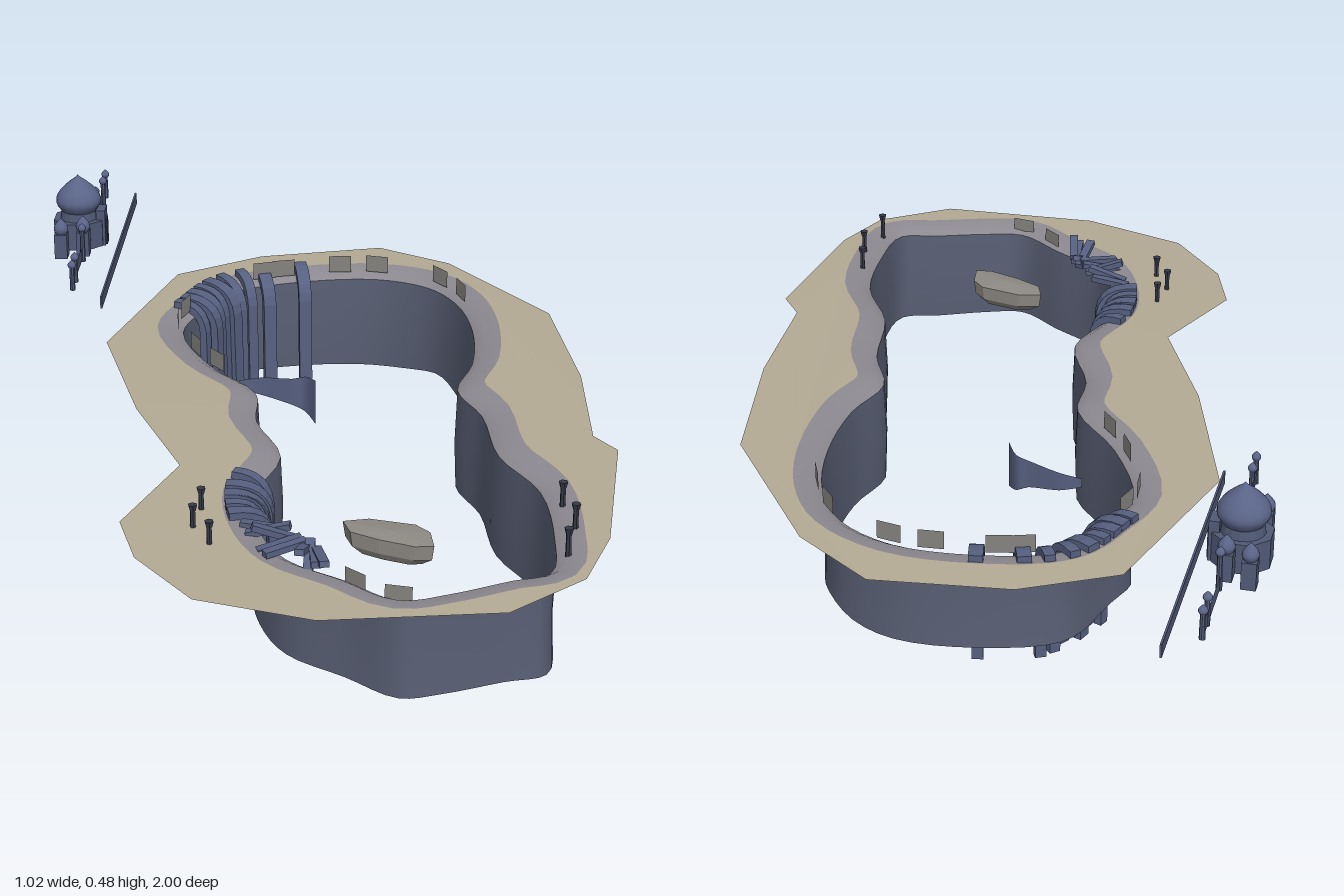
import * as THREE from 'three';

const mat = (color, flatShading = false) =>
  new THREE.MeshStandardMaterial({ color, flatShading, side: THREE.DoubleSide });
const SAND = mat(0xb3aa94), LIP = mat(0x8c8990), ROCK = mat(0x595f74), FALL = mat(0x566080);
const STONE = mat(0x505a76, true), BLOCK = mat(0x85837e, true), DARK = mat(0x353a48, true), DOME = mat(0x5a6488);

// Plan outlines as x, z pairs, running clockwise seen from above
const OUTER = [[-.04, -.71], [.23, -.69], [.36, -.55], [.5, -.21], [.48, .12], [.43, .39], [.46, .46], [.35, .79],
  [.27, .92], [.11, 1], [-.22, .95], [-.42, .83], [-.5, .66], [-.51, .52], [-.37, .32], [-.42, .05], [-.44, -.3], [-.24, -.65]];
const INNER = [[.03, -.57], [.19, -.54], [.29, -.46], [.33, -.35], [.33, -.2], [.29, -.03], [.23, .09], [.25, .22],
  [.24, .4], [.28, .56], [.26, .74], [.22, .86], [.14, .87], [.02, .89], [-.06, .89], [-.14, .8], [-.23, .7],
  [-.26, .58], [-.25, .45], [-.17, .3], [-.19, .13], [-.17, 0], [-.24, -.16], [-.27, -.35], [-.21, -.46], [-.13, -.55]];

const groundY = (x, z) => .262 + .03 * x + .014 * (1 - ((z - .1) / .9) ** 2);

// Sampled canyon edge with outward normals
const edgeCurve = new THREE.CatmullRomCurve3(INNER.map(([x, z]) => new THREE.Vector3(x, 0, z)), true, 'centripetal');
const EDGE = Array.from({ length: 104 }, (_, i) => {
  const p = edgeCurve.getPoint(i / 104), t = edgeCurve.getTangent(i / 104);
  return { x: p.x, z: p.z, nx: t.z, nz: -t.x };
});
const nearestEdge = (x, z) => EDGE.reduce((a, b) =>
  Math.hypot(b.x - x, b.z - z) < Math.hypot(a.x - x, a.z - z) ? b : a);

function add(parent, name, geometry, material, x = 0, y = 0, z = 0, ry = 0) {
  const mesh = new THREE.Mesh(geometry, material);
  mesh.name = name;
  mesh.position.set(x, y, z);
  mesh.rotation.y = ry;
  parent.add(mesh);
  return mesh;
}

// Surface joining closed rings of equal length
function loft(rings) {
  const n = rings[0].length, index = [];
  for (let r = 0; r < rings.length - 1; r++)
    for (let i = 0; i < n; i++) {
      const a = r * n + i, b = r * n + (i + 1) % n;
      index.push(a, a + n, b, b, a + n, b + n);
    }
  const g = new THREE.BufferGeometry();
  g.setAttribute('position', new THREE.Float32BufferAttribute(rings.flat(2), 3));
  g.setIndex(index);
  g.computeVertexNormals();
  return g;
}

function buildGround(root) {
  const offset = e => [e.x + e.nx * .055, e.z + e.nz * .055];
  const toShape = p => new THREE.Vector2(p[0], -p[1]);
  // Flat plateau with the canyon cut out
  const shape = new THREE.Shape(OUTER.map(toShape));
  shape.holes.push(new THREE.Path(EDGE.map(offset).map(toShape)));
  const plateau = new THREE.ShapeGeometry(shape).rotateX(-Math.PI / 2);
  const pos = plateau.attributes.position;
  for (let i = 0; i < pos.count; i++) pos.setY(i, groundY(pos.getX(i), pos.getZ(i)));
  plateau.computeVertexNormals();
  add(root, 'plateau', plateau, SAND);
  // Rounded lip and sheer wall
  const ring = (k, yOf) => EDGE.map(e => {
    const x = e.x + e.nx * k, z = e.z + e.nz * k;
    return [x, yOf(x, z), z];
  });
  const lipY = (x, z) => groundY(x, z) - .017;
  const floorY = (x, z) => .048 + .018 * Math.exp(-(((z + .42) / .07) ** 2));
  add(root, 'canyonLip', loft([ring(.055, groundY), ring(.02, (x, z) => groundY(x, z) - .004), ring(0, lipY)]), LIP);
  add(root, 'canyonWall', loft([ring(0, lipY), ring(-.004, () => .15), ring(0, floorY)]), ROCK);
}

// One band of water curling over the lip and dropping along the wall
function waterStrip(parent, x, z, width, bottom, reach) {
  const e = nearestEdge(x, z), top = groundY(e.x, e.z) + .012;
  const s = new THREE.Shape();
  s.moveTo(-.05, top);
  s.quadraticCurveTo(reach, top + .006, reach + .008, top - .06);
  s.lineTo(reach + .012, bottom);
  s.lineTo(reach - .004, bottom);
  s.lineTo(reach - .008, top - .06);
  s.quadraticCurveTo(reach - .01, top - .012, -.05, top - .014);
  const g = new THREE.ExtrudeGeometry(s, { depth: width, bevelEnabled: false, curveSegments: 6 });
  g.translate(0, 0, -width / 2);
  add(parent, 'waterStrip', g, FALL, e.x, 0, e.z, Math.atan2(e.nz, -e.nx));
}

function buildWaterfalls(root) {
  const falls = [ // start, end, strip count
    ['backLeftFall', [-.235, -.43], [-.14, -.54], 7],
    ['backMiddleFall', [-.09, -.57], [-.05, -.575], 2],
    ['backRightFall', [.01, -.575], [.045, -.575], 2],
    ['frontFall', [-.235, .43], [-.255, .54], 6]];
  for (const [name, a, b, n] of falls) {
    const g = new THREE.Group();
    g.name = name;
    for (let i = 0; i < n; i++) {
      const t = i / (n - 1);
      waterStrip(g, a[0] + (b[0] - a[0]) * t, a[1] + (b[1] - a[1]) * t,
        .022 + .006 * (i % 2), .012 + .011 * ((i * 2) % 3), .02 + .012 * ((i * 3) % 4) / 3);
    }
    root.add(g);
  }
}

function buildDetails(root) {
  // Thin upright slabs along the canyon edge
  const slabs = [[-.24, -.42], [-.27, -.34], [-.26, -.22], [-.22, -.12], [-.06, -.57], [-.01, -.575], [.11, -.56],
    [.2, -.54], [.3, -.44], [.33, -.34], [-.11, .83], [-.05, .89]];
  slabs.forEach(([x, z], i) => {
    const e = nearestEdge(x, z), k = .01;
    add(root, 'edgeSlab', new THREE.PlaneGeometry(.05, .038), BLOCK, e.x + e.nx * k,
      groundY(e.x, e.z) + (i > 9 ? 0 : .016), e.z + e.nz * k, Math.atan2(e.nx, e.nz));
  });
  // Capped posts in two rows
  const posts = [[-.355, .505], [-.38, .57], [-.36, .64], [.3, .645], [.3, .735], [.262, .825]];
  for (const [x, z] of posts) {
    const low = x < 0 ? -.02 : 0;
    add(root, 'post', new THREE.CylinderGeometry(.005, .006, .075, 6), DARK, x, .283 + low, z);
    add(root, 'postCap', new THREE.CylinderGeometry(.009, .006, .012, 6), DARK, x, .32 + low, z);
  }
  // Broken timbers beside the front fall
  for (let i = 0; i < 9; i++) {
    const late = i > 4, x = late ? -.185 + .008 * (i - 7) : -.255 + .006 * i, z = late ? .745 + .012 * (i - 7) : .6 + .025 * i;
    const m = add(root, 'timber', new THREE.BoxGeometry(.085, .012, .018), FALL, x, .264 + .006 * (i % 3), z, late ? .6 + .12 * i : -.5 + .2 * i);
    m.rotation.z = .35 * Math.sin(i * 2.3);
  }
  // Floating ledge with a tapering underside
  const plan = [[-.1, .57], [-.05, .57], [.03, .61], [.05, .645], [.045, .7], [.01, .695], [-.05, .655], [-.095, .615]];
  const level = (k, y) => plan.map(([x, z]) => [-.02 + (x + .02) * k, y, .635 + (z - .635) * k]);
  add(root, 'ledge', loft([level(.001, .25), level(1, .245), level(.95, .215), level(.7, .2), level(.001, .195)]), mat(0x8d8983, true));
  // Curved hanging sheet of rock
  const path = new THREE.CatmullRomCurve3([[-.175, -.185], [-.13, -.175], [-.07, -.14], [-.045, -.13], [-.03, -.09]]
    .map(([x, z]) => new THREE.Vector3(x, 0, z)));
  const sheet = new THREE.PlaneGeometry(1, 1, 12, 1), p = sheet.attributes.position;
  for (let i = 0; i < p.count; i++) {
    const u = p.getX(i) + .5, v = p.getY(i) + .5, c = path.getPoint(u);
    p.setXYZ(i, c.x, v > .5 ? .2 + .03 * u : .18 - .05 * u, c.z);
  }
  sheet.computeVertexNormals();
  add(root, 'hangingSheet', sheet, FALL);
}

// Onion dome of given radius, sitting on y = 0
const onion = (r, h) => new THREE.LatheGeometry(new THREE.SplineCurve(
  [[.75, 0], [1, .25], [.85, .52], [.42, .78], [.12, .92], [0, 1]].map(([a, b]) => new THREE.Vector2(a * r, b * h))).getPoints(14), 16);

function buildPalace(root) {
  const g = new THREE.Group();
  g.name = 'palace';
  g.position.set(-.45, 0, -.71);
  g.rotation.y = 1.33;
  const box = (name, w, y0, y1, d, x, z) => add(g, name, new THREE.BoxGeometry(w, y1 - y0, d), STONE, x, (y0 + y1) / 2, z);
  // Terrace wall in front
  box('terraceWall', .63, .303, .33, .004, 0, .087);
  // Main hall, gate and drum
  const hall = new THREE.CylinderGeometry(.058, .058, .06, 8).rotateY(Math.PI / 8);
  add(g, 'hall', hall, STONE, 0, .36, 0);
  box('gate', .04, .33, .412, .02, 0, .05);
  box('gateRecess', .022, .33, .39, .004, 0, .061).material = DARK;
  add(g, 'drum', new THREE.CylinderGeometry(.038, .042, .024, 16), STONE, 0, .4, 0);
  add(g, 'mainDome', onion(.05, .083), DOME, 0, .407, 0);
  for (const s of [-1, 1]) {
    // Side pavilions with small domes
    for (const [x, z] of [[.09, -.028], [.072, .018]]) {
      box('pavilion', .03, .33, .385, .028, s * x, z);
      add(g, 'smallDome', onion(.016, .036), DOME, s * x, .385, z);
    }
    // Low outer walls and slim towers
    add(g, 'outerWall', new THREE.PlaneGeometry(.19, .03), STONE, s * .19, .347, .02);
    for (const [x, h] of [[.115, .41], [.235, .39], [.28, .39]]) {
      add(g, 'tower', new THREE.CylinderGeometry(.005, .006, h - .33, 8), STONE, s * x, (h + .33) / 2, .022);
      add(g, 'towerCap', onion(.009, .018), DOME, s * x, h - .008, .022);
    }
  }
  root.add(g);
}

export function createModel() {
  const root = new THREE.Group();
  root.name = 'canyonScene';
  buildGround(root);
  buildWaterfalls(root);
  buildDetails(root);
  buildPalace(root);
  return root;
}
